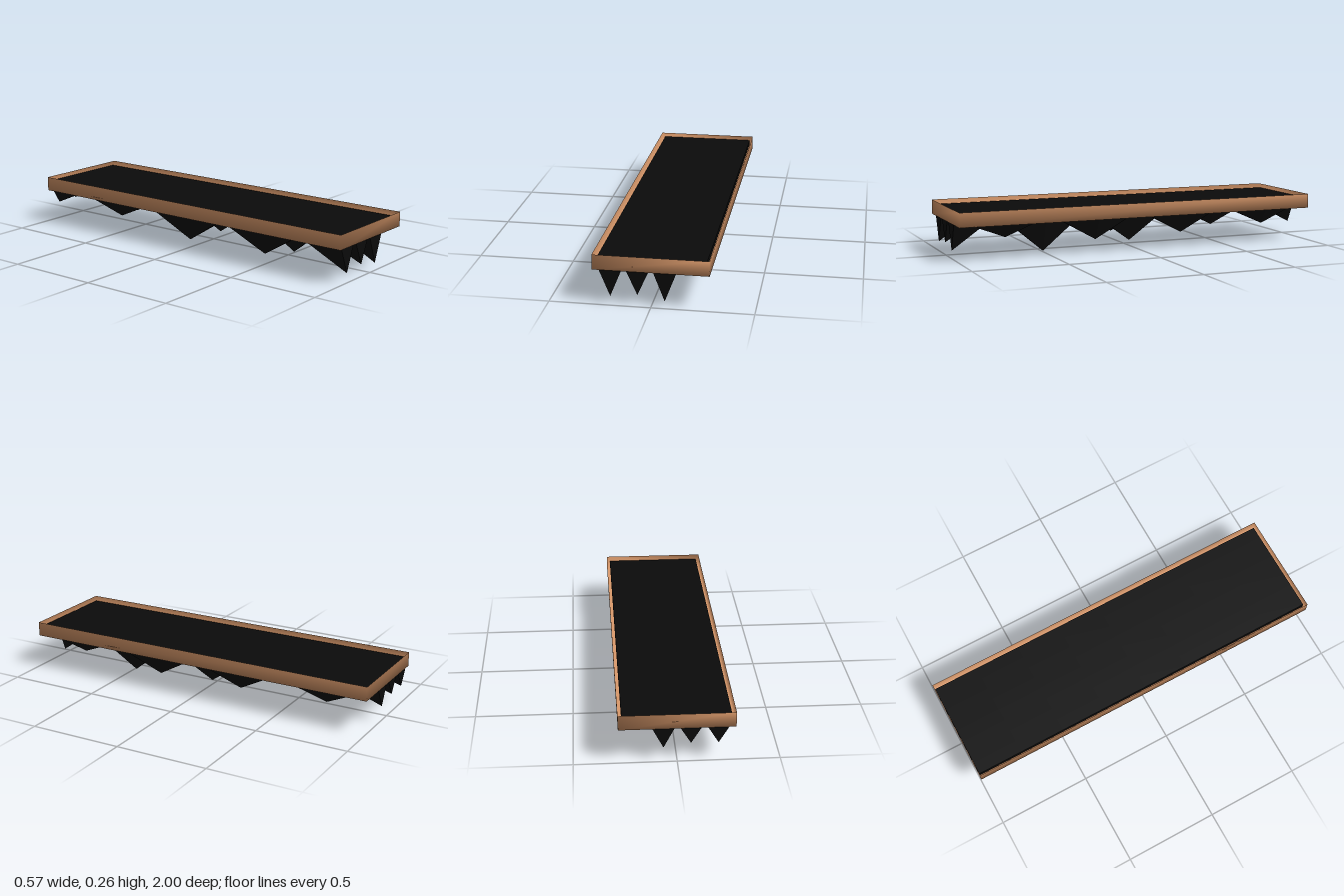
import * as THREE from 'three';
import { mergeVertices } from 'three/addons/utils/BufferGeometryUtils.js';

const TOP = 0.26, FLOOR = 0.183;          // tray rim and tray floor
const SLAB_TOP = 0.237, SLAB_BASE = 0.208; // dark slab inside the tray
const WIDTH = 0.53, LENGTH = 1.984, SEGS = 8;

// Tip heights from front row to back row, one list per column of spikes.
// Column = grid line across the width; start/step = grid lines along the length.
const SPIKES = [
  { column: 1, start: 0, tips: [0.045, 0.053, 0.043, 0.095, 0.098] },
  { column: 3, start: 0, tips: [0.059, 0.075, 0.07, 0.1, 0.1] },
  { column: 5, start: 0, tips: [0.035, 0.002, 0.03, 0.09, 0.079] },
  { column: 7, start: 1, tips: [0.11, 0.069, 0.079, 0.1] },
];

// Thin open-topped box with soft shared normals
function makeTray() {
  const box = new THREE.BoxGeometry(0.566, TOP - FLOOR, 2);
  const kept = [];
  for (const g of box.groups) {
    if (g.materialIndex === 2) continue; // leave the top open
    for (let i = g.start; i < g.start + g.count; i++) kept.push(box.index.getX(i));
  }
  box.setIndex(kept);
  box.clearGroups();
  box.deleteAttribute('normal');
  box.deleteAttribute('uv');
  const geometry = mergeVertices(box);
  geometry.computeVertexNormals();
  const tray = new THREE.Mesh(geometry, new THREE.MeshStandardMaterial({
    color: 0xd8986a, side: THREE.DoubleSide,
  }));
  tray.name = 'tray';
  tray.position.y = (TOP + FLOOR) / 2;
  return tray;
}

// Gridded slab whose underside is pulled down into pyramid spikes
function makeSpikedSlab() {
  const height = SLAB_TOP - SLAB_BASE;
  const geometry = new THREE.BoxGeometry(WIDTH, height, LENGTH, SEGS, 1, SEGS);
  geometry.translate(0, (SLAB_TOP + SLAB_BASE) / 2, -0.005);

  const drop = new Map();
  for (const { column, start, tips } of SPIKES) {
    tips.forEach((y, k) => drop.set(`${column},${start + 2 * k}`, y));
  }
  const p = geometry.attributes.position;
  for (let i = 0; i < p.count; i++) {
    if (p.getY(i) > SLAB_BASE + height / 2) continue;
    const column = Math.round((p.getX(i) / WIDTH + 0.5) * SEGS);
    const row = Math.round((0.5 - (p.getZ(i) + 0.005) / LENGTH) * SEGS);
    const y = drop.get(`${column},${row}`);
    if (y !== undefined) p.setY(i, y);
  }
  geometry.computeVertexNormals();
  const slab = new THREE.Mesh(geometry, new THREE.MeshStandardMaterial({
    color: 0x0b0b0b, flatShading: true,
  }));
  slab.name = 'spikedSlab';
  return slab;
}

export function createModel() {
  const model = new THREE.Group();
  model.name = 'spikedTray';
  model.add(makeTray(), makeSpikedSlab());
  return model;
}
